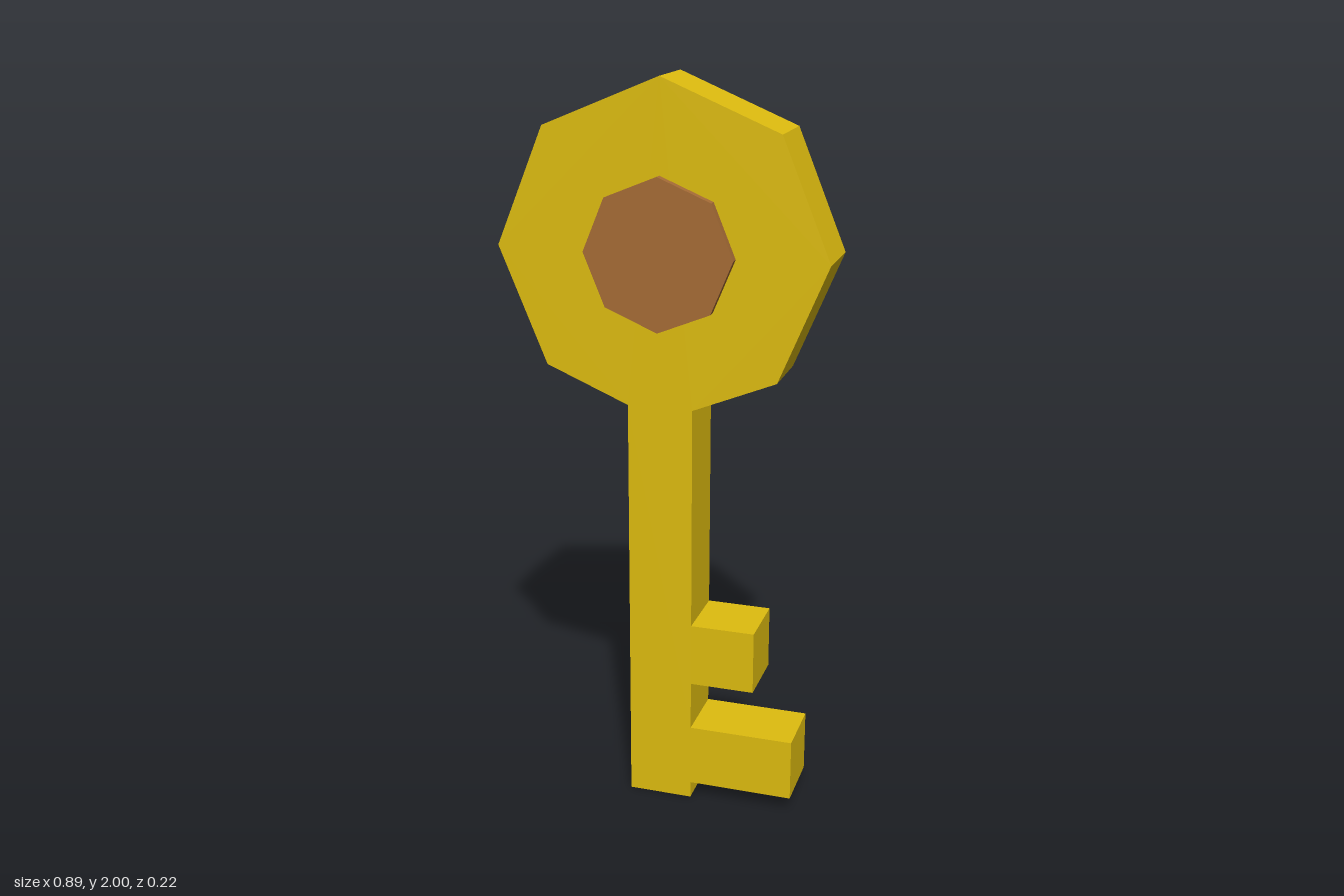
import * as THREE from 'three';

const HEAD_Y = 1.557;
const HEAD_R = 0.443;
const HALF = 0.0885; // half width and half depth of the shaft

export function createModel() {
  const gold = new THREE.MeshStandardMaterial({ color: 0xdfbd0f });
  gold.name = 'gold';
  const brown = new THREE.MeshStandardMaterial({ color: 0xa66c35 });
  brown.name = 'brown';
  const model = new THREE.Group();
  model.name = 'key';

  // Key outline: shaft foot, two teeth on the left side, then the octagonal head
  const neckY = HEAD_Y - HEAD_R + HALF * Math.tan(Math.PI / 8);
  const outline = [
    [-HALF, 0], [HALF, 0],
    [HALF, 0.047], [0.377, 0.047], [0.377, 0.221], [HALF, 0.221],
    [HALF, 0.358], [0.265, 0.358], [0.265, 0.534], [HALF, 0.534],
    [HALF, neckY],
  ];
  for (let i = 1; i < 8; i++) {
    const a = -Math.PI / 2 + (i * Math.PI) / 4;
    outline.push([HEAD_R * Math.cos(a), HEAD_Y + HEAD_R * Math.sin(a)]);
  }
  outline.push([-HALF, neckY]);

  const shape = new THREE.Shape(outline.map(([x, y]) => new THREE.Vector2(x, y)));
  const bodyGeometry = new THREE.ExtrudeGeometry(shape, { depth: 2 * HALF, bevelEnabled: false });
  bodyGeometry.translate(0, 0, -HALF);
  const body = new THREE.Mesh(bodyGeometry, gold);
  body.name = 'keyBody';
  model.add(body);

  // Octagonal inlay standing slightly proud of both faces of the head
  const inlayGeometry = new THREE.CylinderGeometry(0.2, 0.2, 0.222, 8).toNonIndexed();
  inlayGeometry.rotateX(Math.PI / 2);
  inlayGeometry.computeVertexNormals();
  const inlay = new THREE.Mesh(inlayGeometry, brown);
  inlay.name = 'headInlay';
  inlay.position.y = HEAD_Y;
  model.add(inlay);

  return model;
}
